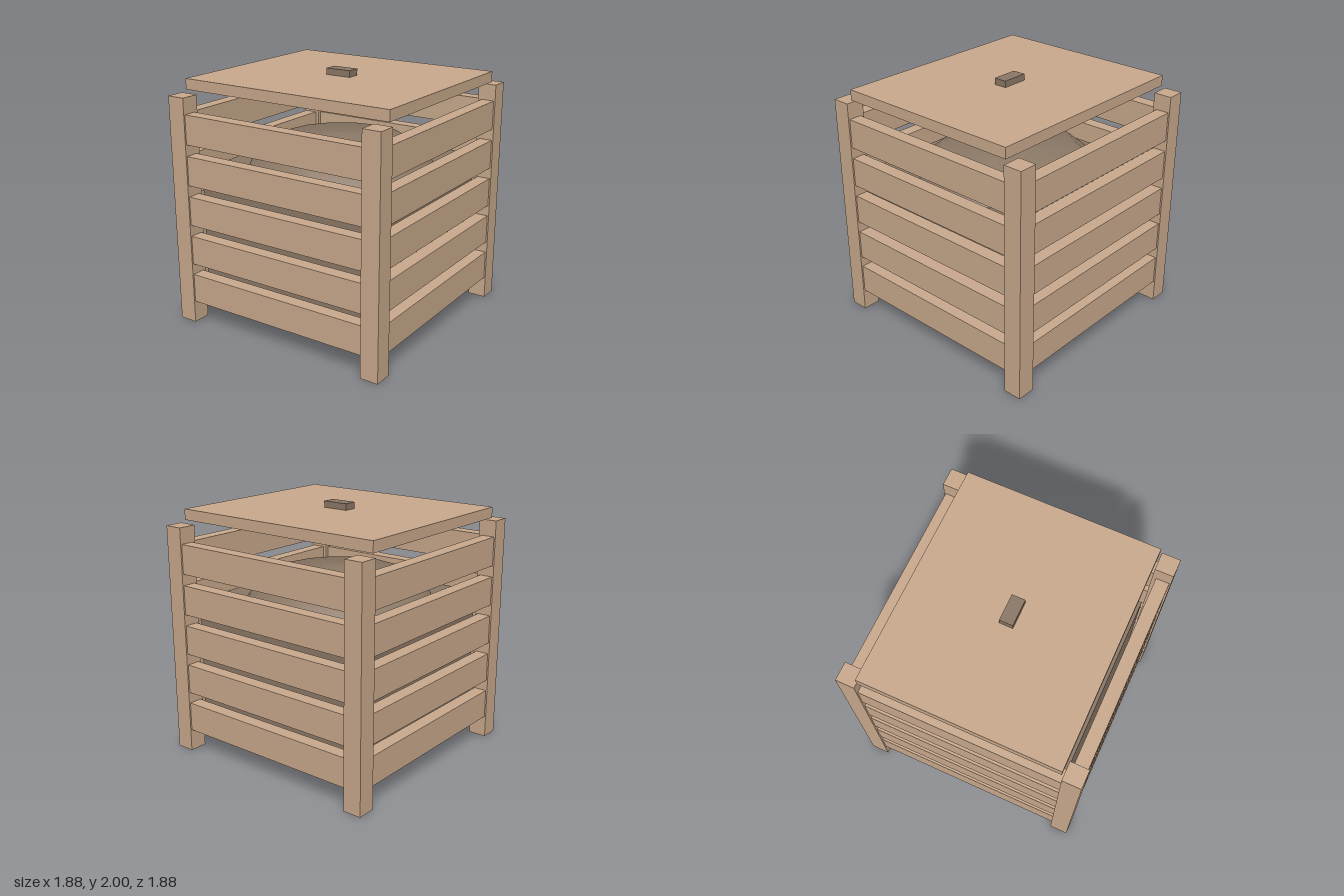
import * as THREE from 'three';

export function createModel() {
  const root = new THREE.Group();
  root.name = 'slattedBin';

  const wood = new THREE.MeshStandardMaterial({ color: 0xc9a98c });
  wood.name = 'light wood';
  const dark = new THREE.MeshStandardMaterial({ color: 0x8b7866 });
  dark.name = 'dark brown';

  // Box given by its size, centre x/z and bottom height
  function box(name, material, w, h, d, x, y, z, parent = root) {
    const mesh = new THREE.Mesh(new THREE.BoxGeometry(w, h, d), material);
    mesh.name = name;
    mesh.position.set(x, y + h / 2, z);
    parent.add(mesh);
    return mesh;
  }

  // Corner posts
  for (const x of [-1, 1]) {
    for (const z of [-1, 1]) {
      box('cornerPost', wood, 0.148, 1.84, 0.148, x * 0.864, 0, z * 0.864);
    }
  }

  // Five spaced slats on each of the four sides
  for (let side = 0; side < 4; side++) {
    const wall = new THREE.Group();
    wall.name = 'slatWall';
    wall.rotation.y = side * Math.PI / 2;
    for (let i = 0; i < 5; i++) {
      box('slat', wood, 1.58, 0.234, 0.106, 0, 0.177 + i * 0.325, 0.873, wall);
    }
    root.add(wall);
  }

  // Inner filling with a shallow faceted mound on top
  box('innerFilling', dark, 1.556, 1.14, 1.556, 0, 0.11, 0);
  const profile = [[0.75, 1.24], [0.52, 1.44], [0, 1.495]].map(p => new THREE.Vector2(...p));
  const mound = new THREE.Mesh(new THREE.LatheGeometry(profile, 16), dark);
  mound.name = 'mound';
  root.add(mound);

  // Raised lid and its handle
  box('lid', wood, 1.812, 0.085, 1.556, 0, 1.864, 0);
  box('lidHandle', dark, 0.216, 0.051, 0.106, 0, 1.949, 0);

  return root;
}
